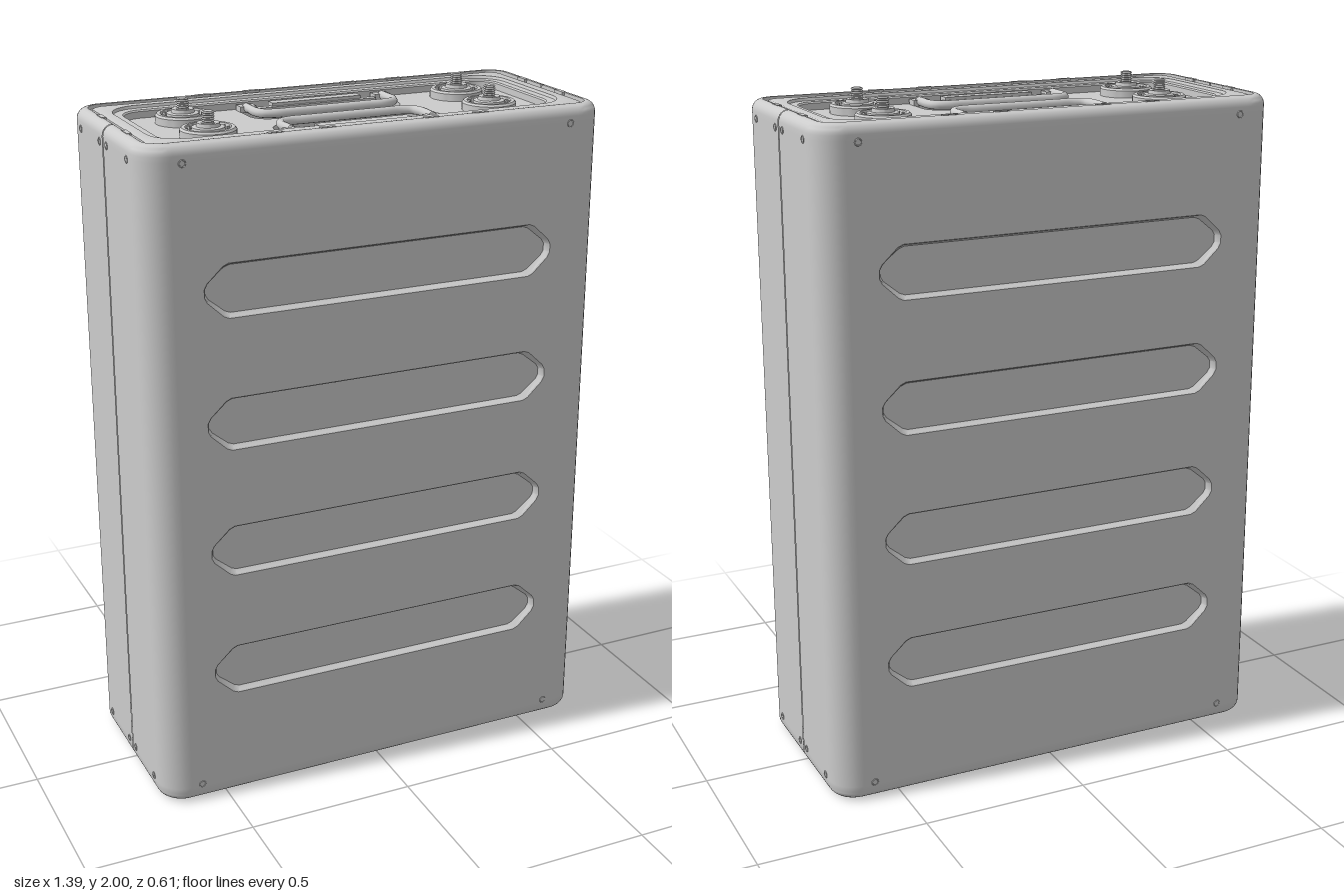
import * as THREE from 'three';
import { toCreasedNormals } from 'three/addons/utils/BufferGeometryUtils.js';

const W = 0.695, D = 0.305, H = 1.965, R = 0.08;
const mat = new THREE.MeshStandardMaterial({ color: 0xcccccc, side: THREE.DoubleSide });

function add(parent, name, geo, x = 0, y = 0, z = 0) {
  const m = new THREE.Mesh(geo, mat);
  m.name = name;
  m.position.set(x, y, z);
  parent.add(m);
  return m;
}
function group(name, parent) {
  const g = new THREE.Group();
  g.name = name;
  if (parent) parent.add(g);
  return g;
}
const box = (x, y, z) => new THREE.BoxGeometry(x, y, z);

// skin between successive cross-sections
function loft(rings, closed, skip = () => false) {
  const pos = [], n = rings[0].length;
  for (let k = 0; k < rings.length - 1; k++) {
    for (let i = 0; i < (closed ? n : n - 1); i++) {
      if (skip(k, i)) continue;
      const j = (i + 1) % n;
      const a = rings[k][i], b = rings[k][j], c = rings[k + 1][i], d = rings[k + 1][j];
      for (const p of [a, c, b, b, c, d]) pos.push(...p);
    }
  }
  const g = new THREE.BufferGeometry();
  g.setAttribute('position', new THREE.Float32BufferAttribute(pos, 3));
  return toCreasedNormals(g, 0.6);
}
function arc(cx, cz, r, a0, a1, n = 8) {
  return Array.from({ length: n + 1 }, (_, i) => {
    const a = a0 + (a1 - a0) * i / n;
    return [cx + r * Math.cos(a), cz + r * Math.sin(a)];
  });
}
const Q = Math.PI / 2;
// full rounded rectangle in plan
function roundRect(hx, hz, r) {
  return [[1, 1], [-1, 1], [-1, -1], [1, -1]].flatMap(([sx, sz], i) =>
    arc(sx * (hx - r), sz * (hz - r), r, i * Q, (i + 1) * Q));
}
// front half of the casing outline
function halfOutline(inset) {
  const hx = W - inset, hz = D - inset, r = Math.max(R - inset, 0.02);
  const side = [[hx, 0.0025], [hx, hz - r - 0.01], ...arc(hx - r, hz - r, r, 0, Q), [hx - r - 0.01, hz]];
  return [...side, ...side.map(([x, z]) => [-x, z]).reverse()];
}
const vec2 = pts => pts.map(p => new THREE.Vector2(p[0], p[1]));
const atHeight = (pts, y) => pts.map(([x, z]) => [x, y, z]);
function flat(pts, holes = []) {
  const s = new THREE.Shape(vec2(pts));
  s.holes = holes.map(h => new THREE.Path(vec2(h)));
  return new THREE.ShapeGeometry(s);
}
const floorPlate = (pts, holes) => flat(pts, holes).rotateX(-Q);

// long six-sided pressing with softened corners
function slot(cy, inset = 0) {
  const q = [[0.53, 0.012], [0.522, 0.027], [0.476, 0.07], [0.46, 0.077]].map(([x, y]) => [x - inset, y - inset * (y / 0.077)]);
  const top = [...q, ...q.map(([x, y]) => [-x, y]).reverse()];
  return [...top, ...top.map(([x, y]) => [-x, -y])].map(([x, y]) => [x, y + cy]);
}

function screw(parent, x, y, z, side) {
  const g = group('screw', parent);
  add(g, 'screwRing', new THREE.TorusGeometry(0.009, 0.002, 6, 16));
  add(g, 'screwHead', new THREE.CircleGeometry(0.009, 16), 0, 0, 0.0008);
  g.position.set(x, y, z);
  g.rotation.y = side * Q;
}

function halfShell() {
  const g = group('frontShell');
  // rolled rim, wall, rolled rim
  const low = [[0.046, 0.03], [0.046, 0.012], [0.032, 0.012], [0.032, 0.001]];
  for (let i = 0; i <= 6; i++) {
    const a = Q * i / 6;
    low.push([0.03 - 0.03 * Math.sin(a), 0.03 - 0.03 * Math.cos(a)]);
  }
  low.push([0, 0.045]);
  const profile = [...low, ...low.map(([i, y]) => [i, H - y]).reverse()];
  const rings = profile.map(([i, y]) => atHeight(halfOutline(i), y));
  const band = low.length - 1, face = rings[0].length / 2 - 1;
  add(g, 'casing', loft(rings, false, (k, i) => k === band && i === face));
  // wide face with pressed slots
  const e = W - R - 0.01, ys = [0.41, 0.79, 1.175, 1.558];
  add(g, 'facePanel', flat([[-e, 0.045], [e, 0.045], [e, H - 0.045], [-e, H - 0.045]], ys.map(y => slot(y))), 0, 0, D);
  for (const y of ys) {
    const steps = [[0.01, -0.02], [0.008, -0.018], [0.003, -0.003], [0, 0]];
    add(g, 'slotWall', loft(steps.map(([i, z]) => slot(y, i).map(p => [...p, z])), true), 0, 0, D);
    add(g, 'slotFloor', flat(slot(y, 0.01)), 0, 0, D - 0.02);
  }
  for (const y of [0.05, 1.915]) for (const s of [-1, 1]) {
    screw(g, s * 0.58, y, D, 0);
    for (const z of [0.03, 0.2]) screw(g, s * W, y, z, s);
  }
  return g;
}

// D-shaped handle well in plan
const well = [[0.235, 0.185], [-0.235, 0.185], ...arc(-0.175, 0.095, 0.06, 2 * Q, 3 * Q), ...arc(0.175, 0.095, 0.06, 3 * Q, 4 * Q)];
const PAN = -0.035;

function cover(name, wellDepth) {
  const g = group(name);
  const steps = [[0.044, -0.03, 0.036], [0.045, -0.006, 0.036], [0.049, -0.004, 0.036], [0.077, -0.004, 0.09],
    [0.08, -0.012, 0.088], [0.104, -0.012, 0.068], [0.108, -0.016, 0.065], [0.108, PAN, 0.065]];
  add(g, 'coverFrame', loft(steps.map(([i, y, r]) => atHeight(roundRect(W - i, D - i, r), y)), true));
  const back = well.map(([x, z]) => [-x, -z]);
  add(g, 'panFloor', floorPlate(roundRect(W - 0.108, D - 0.108, 0.065), [well, back]), 0, PAN, 0);
  for (const s of [0, 1]) {
    const w = group('handleWell', g);
    w.rotation.y = s * Math.PI;
    add(w, 'wellWall', loft([atHeight(well, PAN), atHeight(well, PAN - wellDepth)], true));
    add(w, 'wellFloor', floorPlate(well.map(([x, z]) => [x, -z])), 0, PAN - wellDepth, 0);
  }
  // clips around the rim
  for (const s of [-1, 1]) {
    for (const x of [-0.307, -0.155, 0.155, 0.307]) add(g, 'clip', box(0.045, 0.012, 0.014), x, -0.005, s * 0.272);
    for (const z of [-0.108, 0.108]) add(g, 'clip', box(0.014, 0.012, 0.045), s * 0.662, -0.005, z);
  }
  return g;
}

function handle() {
  const g = group('handle');
  const half = [[0.215, 0.165], [0.215, 0.13], [0.215, 0.095], [0.203, 0.066], [0.17, 0.053], [0.12, 0.053]];
  const path = [...half, ...half.map(([x, z]) => [-x, z]).reverse()].map(([x, z]) => new THREE.Vector3(x, -0.024, z));
  add(g, 'grip', new THREE.TubeGeometry(new THREE.CatmullRomCurve3(path), 60, 0.013, 10));
  add(g, 'hingeBar', box(0.37, 0.014, 0.022), 0, -0.032, 0.149);
  add(g, 'hingeTab', box(0.28, 0.016, 0.034), 0, -0.024, 0.166);
  for (const s of [-1, 1]) add(g, 'hingeLug', box(0.05, 0.018, 0.035), s * 0.213, -0.028, 0.168);
  return g;
}

function terminal() {
  const g = group('terminal');
  const pts = [[0.078, PAN], [0.078, -0.014], [0.073, -0.008], [0.063, -0.008], [0.06, -0.022], [0.047, -0.022],
    [0.045, -0.008], [0.033, -0.006], [0.031, 0.004], [0.021, 0.004], [0.017, 0.002]];
  // threaded stud
  for (let i = 0; i < 5; i++) pts.push([0.0145, 0.005 + i * 0.006], [0.0175, 0.008 + i * 0.006]);
  pts.push([0.014, 0.035], [0, 0.035]);
  add(g, 'terminalPost', toCreasedNormals(new THREE.LatheGeometry(vec2(pts), 36), 0.4));
  for (let i = 0; i < 16; i++) {
    const a = i * Math.PI / 8;
    add(g, 'terminalRib', box(0.008, 0.01, 0.005), 0.058 * Math.cos(a), -0.017, 0.058 * Math.sin(a)).rotation.y = -a;
  }
  return g;
}

export function createModel() {
  const model = group('batteryCase');
  const front = halfShell(), back = front.clone();
  back.name = 'backShell';
  back.rotation.y = Math.PI;
  model.add(front, back);
  // backing behind the seam between the shells
  for (const s of [-1, 1]) add(model, 'seamStrip', box(0.034, H - 0.03, 0.02), s * 0.672, H / 2, 0);

  const top = cover('topCover', 0.05), bottom = cover('bottomCover', 0.025);
  top.position.y = H;
  bottom.rotation.x = Math.PI;
  model.add(top, bottom);
  const h1 = handle(), h2 = h1.clone();
  h2.rotation.y = Math.PI;
  top.add(h1, h2);
  for (const x of [-0.43, 0.43]) for (const z of [-0.1, 0.1]) {
    const t = terminal();
    t.position.set(x, 0, z);
    top.add(t);
  }
  return model;
}
